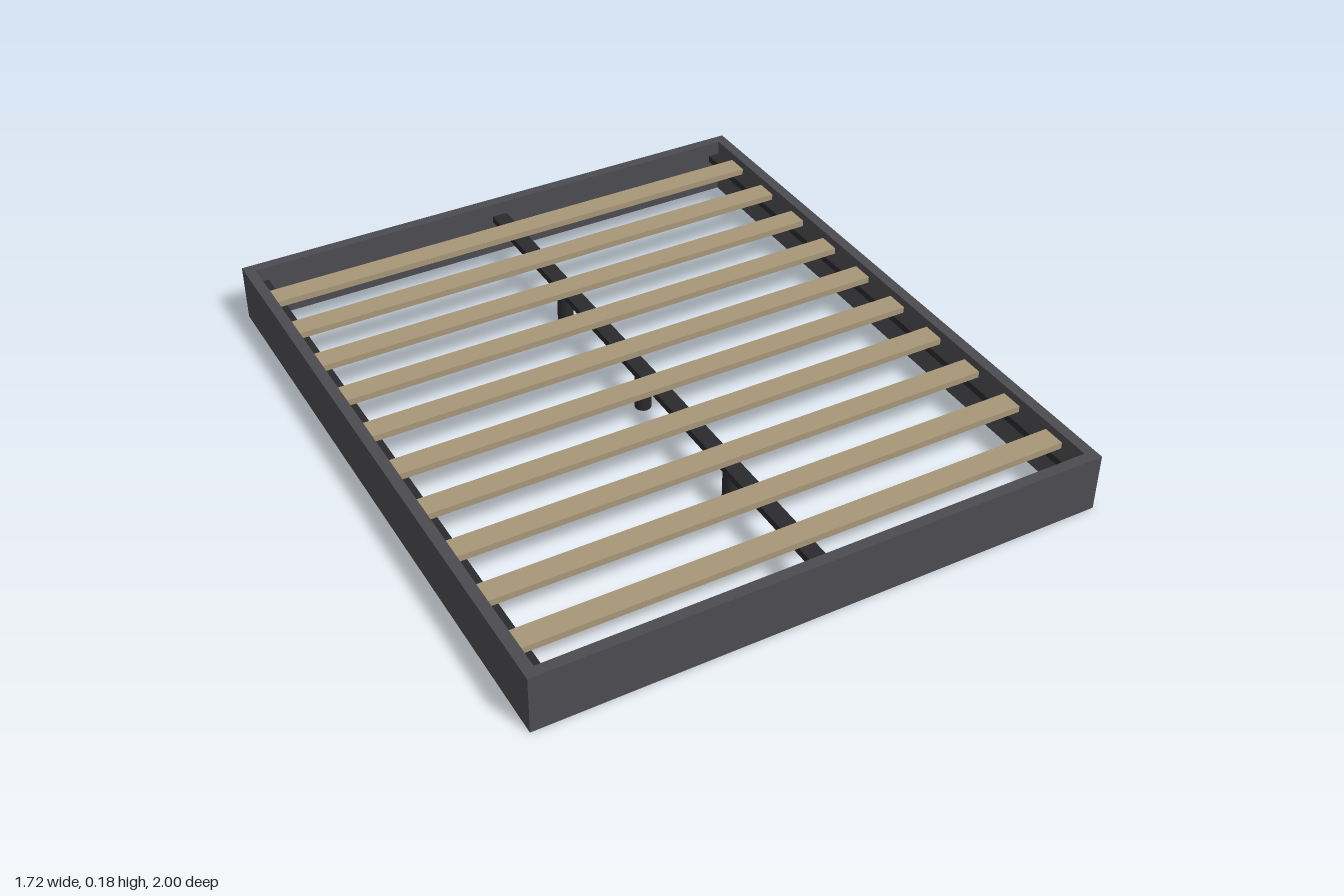
import * as THREE from 'three';

export function createModel() {
  const model = new THREE.Group();
  model.name = 'bedFrame';

  const mat = (name, color) => {
    const m = new THREE.MeshStandardMaterial({ color });
    m.name = name;
    return m;
  };
  const frameGrey = mat('frameGrey', 0x4c4b50);
  const supportBlack = mat('supportBlack', 0x2b2b2e);
  const slatWood = mat('slatWood', 0xa89778);

  const add = (name, geometry, material, x, y, z) => {
    const mesh = new THREE.Mesh(geometry, material);
    mesh.name = name;
    mesh.position.set(x, y, z);
    model.add(mesh);
  };
  const box = (w, h, d) => new THREE.BoxGeometry(w, h, d);

  const W = 1.72, L = 2, H = 0.18, T = 0.033;
  const innerL = L - 2 * T;
  const beamH = 0.022, beamY = 0.124;
  const slatH = 0.02, slatY = beamY + beamH / 2 + slatH / 2;

  // Outer boards and the ledges along the long sides
  for (const s of [-1, 1]) {
    const side = s > 0 ? 'left' : 'right';
    add(side + 'SideBoard', box(T, H, innerL), frameGrey, s * (W - T) / 2, H / 2, 0);
    add(s > 0 ? 'frontBoard' : 'backBoard', box(W, H, T), frameGrey, 0, H / 2, s * (L - T) / 2);
    add(side + 'Ledge', box(0.037, beamH, innerL), supportBlack, s * (W / 2 - T - 0.0185), beamY, 0);
  }

  // Centre beam on three round legs
  add('centreBeam', box(0.05, beamH, innerL), supportBlack, 0, beamY, 0);
  const legH = beamY - beamH / 2;
  for (const z of [-0.5, 0, 0.5]) {
    add('supportLeg', new THREE.CylinderGeometry(0.025, 0.025, legH, 16), supportBlack, 0, legH / 2, z);
  }

  // Ten slats across the width
  const count = 10, span = 1.684;
  for (let i = 0; i < count; i++) {
    add('slat', box(W - 2 * T, slatH, 0.07), slatWood, 0, slatY, -span / 2 + (span * i) / (count - 1));
  }

  return model;
}
